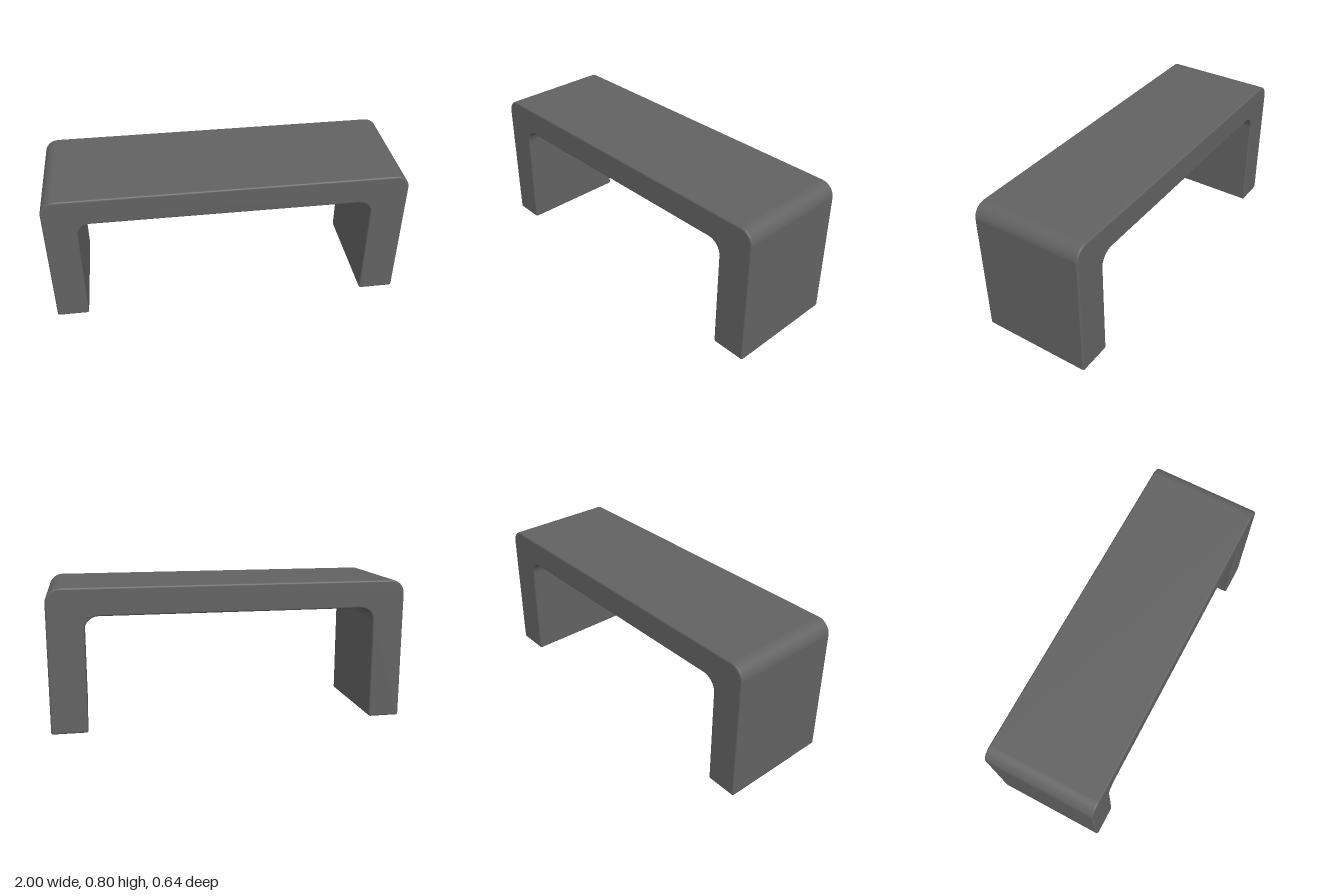
import * as THREE from 'three';
import { mergeVertices } from 'three/addons/utils/BufferGeometryUtils.js';

const DEPTH = 0.64, BEVEL = 0.01;

// Closed outline from [x, y, radius] corners, each rounded with an arc
function roundedOutline(corners) {
  const shape = new THREE.Shape();
  const n = corners.length;
  corners.forEach(([x, y, r], i) => {
    const corner = new THREE.Vector2(x, y);
    const towards = ([px, py]) =>
      new THREE.Vector2(px, py).sub(corner).setLength(r).add(corner);
    const start = towards(corners[(i + n - 1) % n]);
    const end = towards(corners[(i + 1) % n]);
    if (i === 0) shape.moveTo(start.x, start.y);
    else shape.lineTo(start.x, start.y);

    // Square corners: the arc centre completes the square
    const cx = start.x + end.x - x, cy = start.y + end.y - y;
    const a0 = Math.atan2(start.y - cy, start.x - cx);
    const a1 = Math.atan2(end.y - cy, end.x - cx);
    const clockwise = Math.sin(a1 - a0) < 0;
    shape.absarc(cx, cy, r, a0, a1, clockwise);
  });
  shape.closePath();
  return shape;
}

// Shared vertices with area-weighted normals: flat faces, soft edges
function smooth(geometry) {
  geometry.deleteAttribute('uv');
  geometry.deleteAttribute('normal');
  const merged = mergeVertices(geometry);
  merged.computeVertexNormals();
  return merged;
}

export function createModel() {
  const group = new THREE.Group();
  group.name = 'bench';

  // Arch profile: two legs and a top slab, with rounded outer and inner corners
  const outline = roundedOutline([
    [-1, 0, 0.012],
    [-0.82, 0, 0.012],
    [-0.82, 0.646, 0.078],
    [0.8, 0.646, 0.078],
    [0.8, 0, 0.012],
    [1, 0, 0.012],
    [1, 0.802, 0.08],
    [-1, 0.802, 0.08],
  ]);

  // Extruded front to back with softened edges
  const geometry = new THREE.ExtrudeGeometry(outline, {
    depth: DEPTH - 2 * BEVEL,
    bevelEnabled: true,
    bevelThickness: BEVEL,
    bevelSize: BEVEL,
    bevelOffset: -BEVEL,
    bevelSegments: 4,
    curveSegments: 12,
  });
  geometry.translate(0, 0, -DEPTH / 2 + BEVEL);

  const body = new THREE.Mesh(
    smooth(geometry),
    new THREE.MeshStandardMaterial({ color: 0x626262 })
  );
  body.name = 'benchBody';
  group.add(body);
  return group;
}
